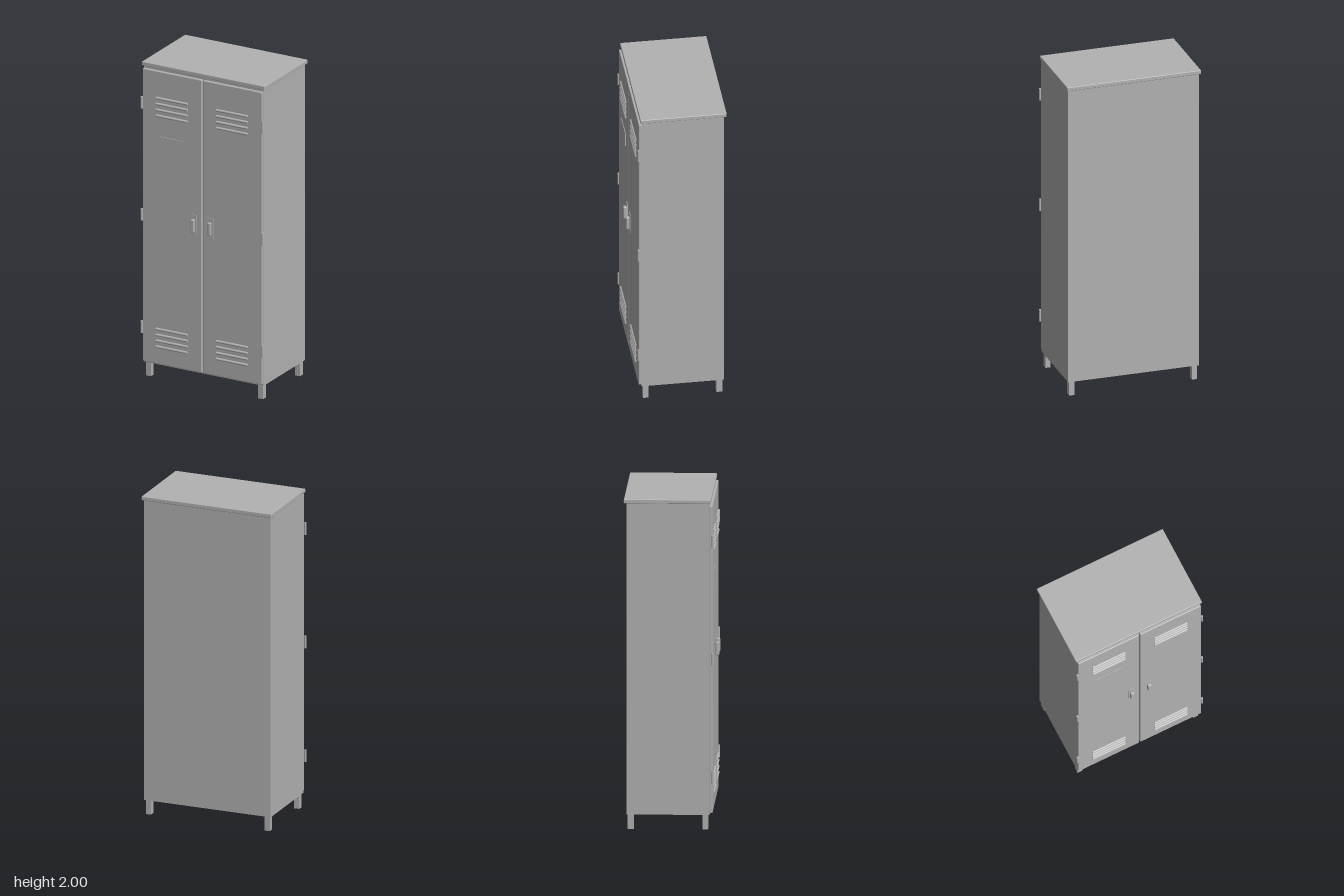
import * as THREE from 'three';
import { RoundedBoxGeometry } from 'three/addons/geometries/RoundedBoxGeometry.js';

export function createModel() {
  const model = new THREE.Group();
  model.name = 'locker';
  const steel = new THREE.MeshStandardMaterial({ color: 0xb2b2b2 });
  steel.name = 'grey steel';

  const add = (name, geometry, x, y, z) => {
    const mesh = new THREE.Mesh(geometry, steel);
    mesh.name = name;
    mesh.position.set(x, y, z);
    model.add(mesh);
    return mesh;
  };
  // box from its lower and upper corners, with optional rounded edges
  const box = (name, [x0, y0, z0], [x1, y1, z1], radius = 0) => {
    const size = [x1 - x0, y1 - y0, z1 - z0];
    const geometry = radius
      ? new RoundedBoxGeometry(...size, 2, radius)
      : new THREE.BoxGeometry(...size);
    return add(name, geometry, (x0 + x1) / 2, (y0 + y1) / 2, (z0 + z1) / 2);
  };

  // cabinet shell and overhanging lid
  box('body', [-0.41, 0.09, -0.262], [0.41, 1.975, 0.232]);
  box('lid', [-0.42, 1.975, -0.278], [0.42, 2, 0.24], 0.004);

  // half-round louvre running along x
  const louvreGeometry = new THREE.CylinderGeometry(0.01, 0.01, 0.217, 12);
  louvreGeometry.rotateZ(Math.PI / 2).scale(1, 0.8, 1);
  const hingeGeometry = new THREE.CylinderGeometry(0.007, 0.007, 0.076, 16);

  for (const s of [-1, 1]) {
    const side = s > 0 ? 'left' : 'right';
    // box placed by its centre, mirrored to this side
    const sideBox = (name, x0, x1, y0, y1, z0, z1, r) =>
      box(side + name, [Math.min(s * x0, s * x1), y0, z0], [Math.max(s * x0, s * x1), y1, z1], r);

    // door with softened edges
    sideBox('Door', 0.004, 0.409, 0.1, 1.962, 0.23, 0.25, 0.005);

    // vents at top and bottom of the door
    for (const top of [1.792, 0.322]) {
      for (let i = 0; i < 4; i++) {
        add(side + 'Louvre', louvreGeometry, s * 0.2065, top - i * 0.0375, 0.25);
      }
    }

    // hinge knuckles
    for (const y of [0.317, 1.032, 1.744]) {
      add(side + 'Hinge', hingeGeometry, s * 0.414, y, 0.251);
    }

    // handle on its backing plate
    sideBox('HandlePlate', 0.037, 0.077, 0.966, 1.096, 0.249, 0.2535);
    sideBox('Handle', 0.045, 0.069, 0.99, 1.072, 0.253, 0.275, 0.006);

    // legs
    sideBox('FrontLeg', 0.368, 0.401, 0, 0.09, 0.19, 0.223);
    sideBox('BackLeg', 0.368, 0.401, 0, 0.09, -0.255, -0.218);
  }

  // blank label plate on the right-hand door
  box('labelPlate', [-0.29, 1.46, 0.249], [-0.12, 1.55, 0.2535]);

  return model;
}
